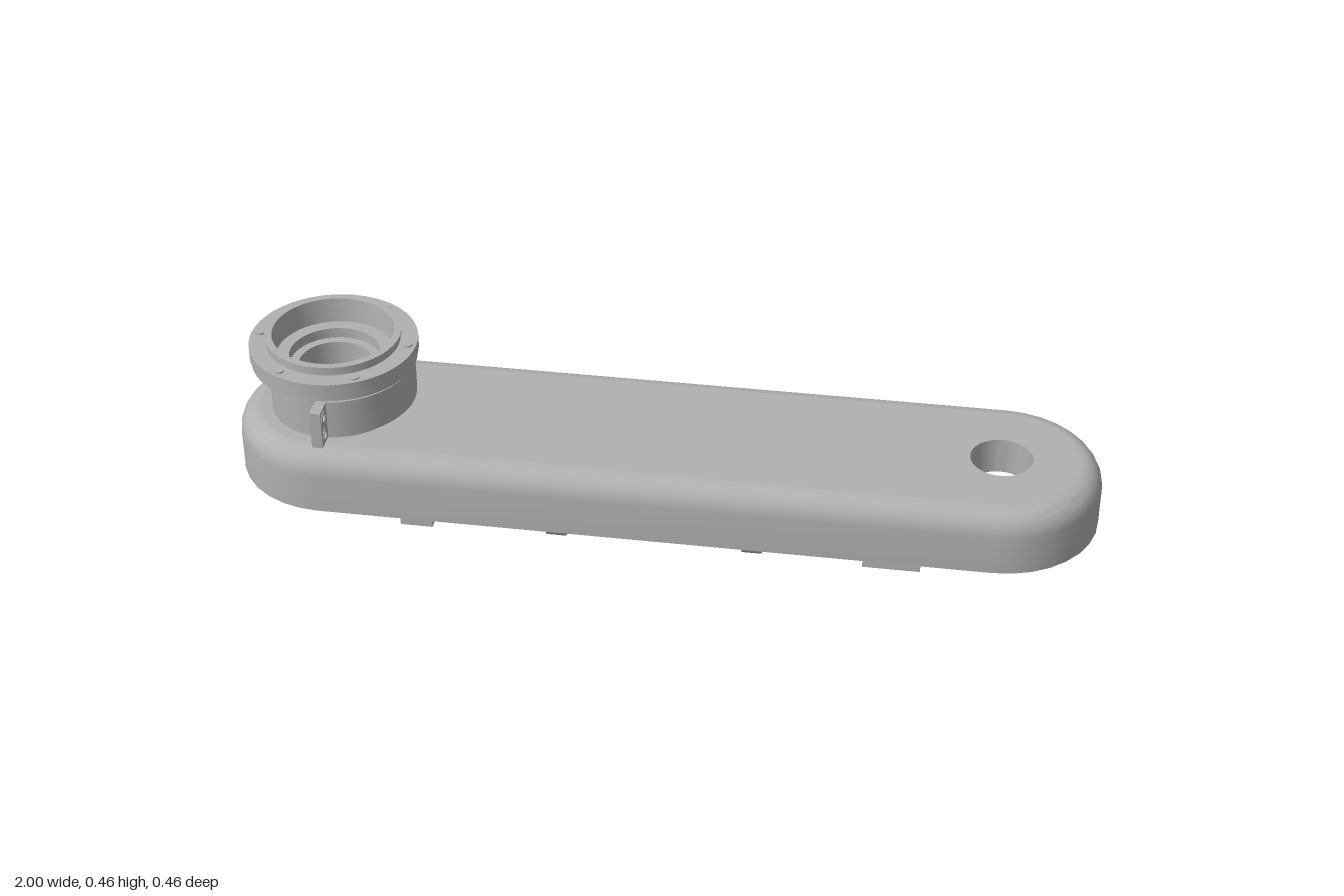
import * as THREE from 'three';
import { toCreasedNormals } from 'three/addons/utils/BufferGeometryUtils.js';

const grey = new THREE.MeshStandardMaterial({ color: 0xb0b0b0, side: THREE.DoubleSide });
grey.name = 'grey';
const END = 0.77; // x of the two end axes

function add(parent, name, geo, x = 0, y = 0, z = 0) {
  const m = new THREE.Mesh(geo, grey);
  m.name = name;
  m.position.set(x, y, z);
  parent.add(m);
  return m;
}

// box from its limits
function box(parent, name, x0, x1, y0, y1, z0, z1) {
  return add(parent, name, new THREE.BoxGeometry(x1 - x0, y1 - y0, z1 - z0),
    (x0 + x1) / 2, (y0 + y1) / 2, (z0 + z1) / 2);
}

function lathe(points, seg = 48) {
  const pts = points.map(p => new THREE.Vector2(p[0], p[1]));
  return toCreasedNormals(new THREE.LatheGeometry(pts, seg), 0.6);
}

function circleHole(x, y, r) {
  return new THREE.Path().absarc(x, y, r, 0, Math.PI * 2, true);
}

// extrude a (z, y) outline along x
function extrudeX(shape, depth) {
  const g = new THREE.ExtrudeGeometry(shape, { depth, bevelEnabled: false, curveSegments: 20 });
  return toCreasedNormals(g.rotateY(Math.PI / 2), 0.6);
}

// outline with straight sides and half-round ends
function stadium(r, seg = 16) {
  const pts = [];
  for (const s of [1, -1]) {
    for (let i = 0; i <= seg; i++) {
      const a = -Math.PI / 2 + Math.PI * i / seg + (s < 0 ? Math.PI : 0);
      pts.push(new THREE.Vector2(s * END + r * Math.cos(a), r * Math.sin(a)));
    }
  }
  return pts;
}

// wall swept round the stadium through a list of [radius, y]
function stadiumWall(profile) {
  const pos = [], idx = [];
  const n = stadium(1).length;
  profile.forEach(([r, y]) => stadium(r).forEach(p => pos.push(p.x, y, p.y)));
  for (let k = 0; k < profile.length - 1; k++) {
    for (let i = 0; i < n; i++) {
      const j = (i + 1) % n, a = k * n + i, b = k * n + j;
      idx.push(a, a + n, b, b, a + n, b + n);
    }
  }
  const g = new THREE.BufferGeometry();
  g.setAttribute('position', new THREE.Float32BufferAttribute(pos, 3));
  g.setIndex(idx);
  return toCreasedNormals(g, 0.6);
}

function buildShell(root) {
  const shell = new THREE.Group();
  shell.name = 'shell';
  root.add(shell);
  const arc = (r, h, y, n = 8) => Array.from({ length: n + 1 }, (_, i) => {
    const a = Math.PI / 2 * i / n;
    return [r - 0.05 * (1 - Math.cos(a)), y + h * Math.sin(a)];
  });
  add(shell, 'sideWall', stadiumWall([
    [0.23, 0.115], ...arc(0.23, 0.058, 0.21), ...arc(0.22, 0.048, 0.21).reverse(),
    [0.22, 0.115], [0.23, 0.115],
  ]));
  const lid = new THREE.Shape(stadium(0.18));
  lid.holes.push(circleHole(END, 0, 0.071), circleHole(-END, 0, 0.087));
  const g = new THREE.ExtrudeGeometry(lid, { depth: 0.01, bevelEnabled: false, curveSegments: 24 });
  add(shell, 'topPlate', toCreasedNormals(g.rotateX(-Math.PI / 2), 0.6), 0, 0.258, 0);
  // boss under the open hole
  add(shell, 'holeBoss', lathe([
    [0.071, 0.18], [0.13, 0.18], [0.13, 0.258], [0.071, 0.258], [0.071, 0.18],
  ]), END, 0, 0);
}

function buildTower(root) {
  const tower = new THREE.Group();
  tower.name = 'jointTower';
  tower.position.x = -END;
  root.add(tower);
  add(tower, 'jointBody', lathe([
    [0.085, 0.16], [0.135, 0.16], [0.135, 0.258], [0.153, 0.258], [0.153, 0.385],
    [0.117, 0.385], [0.117, 0.393], [0.191, 0.393], [0.191, 0.407], [0.194, 0.408],
    [0.194, 0.438], [0.154, 0.438], [0.154, 0.455], [0.157, 0.455], [0.157, 0.46],
    [0.14, 0.46], [0.135, 0.4], [0.105, 0.4], [0.105, 0.375], [0.085, 0.375], [0.085, 0.16],
  ]));
  // screws round the flange
  for (let i = 0; i < 6; i++) {
    const a = i * Math.PI / 3;
    add(tower, 'flangeScrew', new THREE.CylinderGeometry(0.012, 0.012, 0.006, 16),
      0.174 * Math.cos(a), 0.439, 0.174 * Math.sin(a));
  }
  // half clamp on the inner side
  const half = new THREE.Shape();
  half.absarc(0, 0, 0.184, -Math.PI / 2, Math.PI / 2, false);
  half.absarc(0, 0, 0.15, Math.PI / 2, -Math.PI / 2, true);
  const g = new THREE.ExtrudeGeometry(half, { depth: 0.092, bevelEnabled: false, curveSegments: 24 });
  add(tower, 'clampBand', toCreasedNormals(g.rotateX(-Math.PI / 2), 0.6), 0, 0.293, 0);
  // drilled clamp ears
  for (const s of [1, -1]) {
    const ear = new THREE.Shape([[0.15, 0.293], [0.231, 0.293], [0.231, 0.385], [0.15, 0.385]]
      .map(p => new THREE.Vector2(s * p[0], p[1])));
    for (const y of [0.316, 0.362]) {
      ear.holes.push(circleHole(s * 0.209, y, 0.01));
      const ring = new THREE.Shape().absarc(0, 0, 0.016, 0, Math.PI * 2);
      ring.holes.push(circleHole(0, 0, 0.01));
      add(tower, 'earWasher', extrudeX(ring, 0.003), 0.024, y, -s * 0.209);
    }
    add(tower, 'clampEar', extrudeX(ear, 0.025));
  }
}

function buildFrame(root) {
  const frame = new THREE.Group();
  frame.name = 'innerFrame';
  root.add(frame);
  // long channel
  box(frame, 'channelFloor', -0.55, 0.55, 0.2, 0.21, -0.12, 0.12);
  for (const s of [1, -1]) {
    box(frame, 'channelRail', -0.52, 0.52, 0.1, 0.258, s * 0.115 - 0.006, s * 0.115 + 0.006);
  }
  // end brackets with side feet
  for (const [x0, x1] of [[-0.585, -0.51], [0.48, 0.61]]) {
    for (const s of [1, -1]) {
      const span = (a, b) => s > 0 ? [a, b] : [-b, -a];
      box(frame, 'bracketFoot', x0, x1, 0.076, 0.1, ...span(0.1, 0.2));
      box(frame, 'bracketOuterPost', x0, x1, 0.1, 0.22, ...span(0.176, 0.2));
      box(frame, 'bracketInnerPost', x0, x1, 0.1, 0.22, ...span(0.1, 0.125));
    }
  }
  // plates and cheeks round the pulley
  box(frame, 'pulleyPlate', -0.585, -0.51, 0.076, 0.088, -0.1, 0.1);
  box(frame, 'pulleyBar', -0.62, -0.575, 0.054, 0.07, -0.095, 0.095);
  box(frame, 'pulleyBarWeb', -0.59, -0.575, 0.054, 0.088, -0.095, 0.095);
  for (const s of [1, -1]) {
    box(frame, 'pulleyCheek', -0.69, -0.585, 0.085, 0.16, s * 0.048 - 0.006, s * 0.048 + 0.006);
  }
  const pulley = lathe([
    [0.012, -0.04], [0.055, -0.04], [0.042, -0.025], [0.042, -0.016], [0.055, -0.003],
    [0.055, 0.003], [0.042, 0.016], [0.042, 0.025], [0.055, 0.04], [0.012, 0.04], [0.012, -0.04],
  ], 32).rotateX(Math.PI / 2);
  add(frame, 'cablePulley', pulley, -0.65, 0.088, 0);
  const axle = new THREE.CylinderGeometry(0.012, 0.012, 0.12, 16).rotateX(Math.PI / 2);
  add(frame, 'pulleyAxle', axle, -0.65, 0.088, 0);
  // cable guide at the far end
  box(frame, 'guidePlate', 0.585, 0.61, 0.084, 0.2, -0.1, 0.1);
  box(frame, 'guideBlock', 0.56, 0.62, 0.055, 0.086, -0.04, 0.04);
  for (const s of [1, -1]) {
    box(frame, 'guideHook', 0.59, 0.62, 0.045, 0.065, s * 0.027 - 0.01, s * 0.027 + 0.01);
    const bolt = new THREE.CylinderGeometry(0.008, 0.008, 0.006, 16).rotateZ(Math.PI / 2);
    add(frame, 'guideBolt', bolt, 0.611, 0.089, s * 0.076);
  }
  // round cable clips
  const clip = new THREE.Shape().absarc(0, 0, 0.045, 0, Math.PI * 2);
  clip.holes.push(circleHole(0, 0, 0.038));
  for (const x of [-0.264, 0.195]) {
    add(frame, 'cableClip', extrudeX(clip, 0.045), x, 0.045, 0.072);
    box(frame, 'clipStem', x, x + 0.045, 0.07, 0.13, 0.105, 0.115);
  }
}

export function createModel() {
  const root = new THREE.Group();
  root.name = 'armLink';
  buildShell(root);
  buildTower(root);
  buildFrame(root);
  return root;
}
